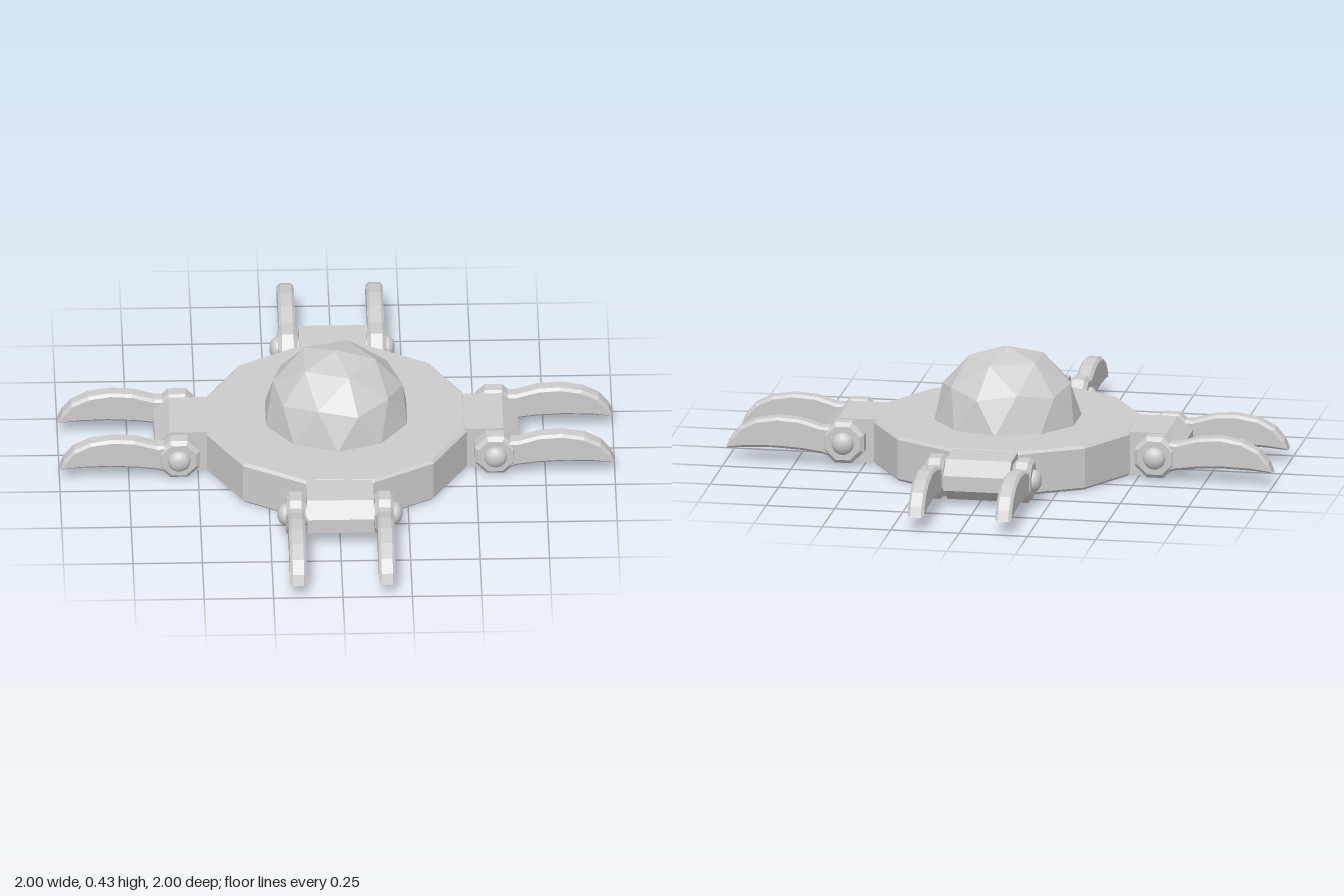
import * as THREE from 'three';

const material = new THREE.MeshStandardMaterial({ color: 0xcccccc, flatShading: true });
const smooth = new THREE.MeshStandardMaterial({ color: 0xcccccc });

function part(name, geometry, mat = material) {
  const mesh = new THREE.Mesh(geometry, mat);
  mesh.name = name;
  return mesh;
}

// Bevelled slab whose outline keeps its size, centred on z = 0
function slab(points, depth, bevel) {
  const shape = new THREE.Shape(points.map(([x, y]) => new THREE.Vector2(x, y)));
  const geometry = new THREE.ExtrudeGeometry(shape, {
    depth: depth - 2 * bevel, bevelEnabled: bevel > 0, bevelThickness: bevel,
    bevelSize: bevel, bevelOffset: -bevel, bevelSegments: 1,
  });
  return geometry.translate(0, 0, bevel - depth / 2);
}

function ring(sides, radius, turn) {
  return Array.from({ length: sides }, (_, i) => {
    const a = turn + (i / sides) * Math.PI * 2;
    return [radius * Math.cos(a), radius * Math.sin(a)];
  });
}

// Curved finger with an eight-sided hinge and a round-headed pin
function createClaw(side) {
  const claw = new THREE.Group();
  claw.name = 'claw';

  const profile = [
    [0.55, 0.05], [0.60, 0.03], [0.645, 0.045], [0.72, 0.055], [0.82, 0.06], [0.92, 0.057], [1.0, 0.05],
    [0.985, 0.088], [0.95, 0.13], [0.89, 0.16], [0.81, 0.173], [0.73, 0.168], [0.65, 0.145],
    [0.60, 0.145], [0.55, 0.13],
  ];
  const finger = part('clawFinger', slab(profile, 0.06, 0.01));
  finger.position.z = side * 0.16;

  const hinge = part('clawHinge', slab(ring(8, 0.082, Math.PI / 8), 0.07, 0.014));
  hinge.position.set(0.57, 0.09, side * 0.16);

  const pin = part('hingePin', new THREE.CylinderGeometry(0.04, 0.04, 0.1, 16).rotateX(Math.PI / 2), smooth);
  pin.position.set(0.57, 0.09, side * 0.15);

  const head = part('pinHead', new THREE.SphereGeometry(0.041, 16, 10).scale(1, 1, 0.7), smooth);
  head.position.set(0.57, 0.09, side * 0.197);

  claw.add(finger, hinge, pin, head);
  return claw;
}

// Chamfered arm with a claw on either side
function createLimb() {
  const limb = new THREE.Group();
  limb.name = 'limb';
  const profile = [
    [0.40, 0.004], [0.56, 0.004], [0.655, 0.06], [0.655, 0.115], [0.60, 0.164], [0.40, 0.164],
  ];
  limb.add(part('arm', slab(profile, 0.24, 0)), createClaw(1), createClaw(-1));
  return limb;
}

export function createModel() {
  const model = new THREE.Group();
  model.name = 'clawedDisc';

  // Twelve-sided base
  const base = part('base', slab(ring(12, 0.485, Math.PI / 12), 0.165, 0.01).rotateX(-Math.PI / 2));
  base.position.y = 0.0825;
  model.add(base);

  // Faceted dome, turned so that a corner points straight up
  const golden = (1 + Math.sqrt(5)) / 2;
  const dome = part('dome', new THREE.IcosahedronGeometry(0.268, 1).rotateZ(-Math.atan(1 / golden)));
  // Flatten the hidden lower half inside the base
  const p = dome.geometry.attributes.position;
  for (let i = 0; i < p.count; i++) p.setY(i, Math.max(p.getY(i), -0.1));
  dome.geometry.computeVertexNormals();
  dome.position.y = 0.162;
  model.add(dome);

  // Four limbs around the base
  for (let i = 0; i < 4; i++) {
    const limb = createLimb();
    limb.rotation.y = (i * Math.PI) / 2;
    model.add(limb);
  }
  return model;
}
